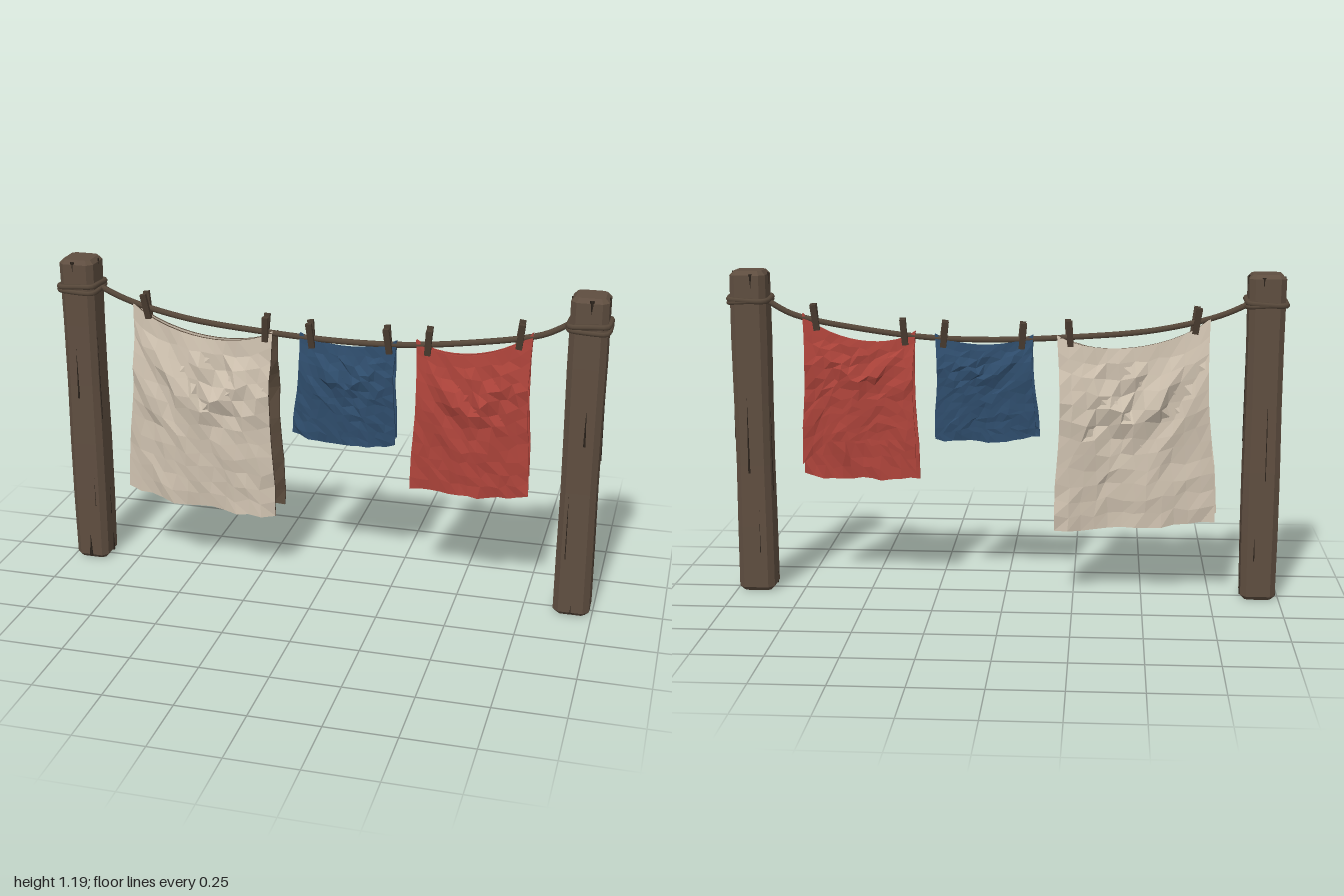
import * as THREE from 'three';

const mat = (name, color, side = THREE.FrontSide) => {
  const m = new THREE.MeshStandardMaterial({ color, side });
  m.name = name;
  return m;
};
const lerp = THREE.MathUtils.lerp;
const noise = (a, b) => { const n = Math.sin(a * 12.99 + b * 78.23) * 43758.5; return 2 * (n - Math.floor(n)) - 1; };
const LINE_Z = -0.01;

export function createModel() {
  const wood = mat('weathered wood', 0x5f4e40);
  const dark = mat('dark wood grain', 0x30271f);
  const ropeMat = mat('rope brown', 0x57483a);
  const pegMat = mat('peg brown', 0x4a3c30);
  const cream = mat('cream cloth', 0xcdc0ae, THREE.DoubleSide);
  const hem = mat('brown hem', 0x57483a, THREE.DoubleSide);
  const blue = mat('blue cloth', 0x2e4c6b, THREE.DoubleSide);
  const red = mat('red cloth', 0xac433a, THREE.DoubleSide);

  const model = new THREE.Group();
  model.name = 'clothesline';
  const add = (parent, name, geometry, material) => {
    const mesh = new THREE.Mesh(geometry, material);
    mesh.name = name;
    parent.add(mesh);
    return mesh;
  };

  // Chamfered, slightly uneven timber, standing on y = 0
  const postGeometry = (seed) => {
    const h = 0.05, c = 0.012, shape = new THREE.Shape();
    [[-h + c, -h], [h - c, -h], [h, -h + c], [h, h - c], [h - c, h], [-h + c, h], [-h, h - c], [-h, -h + c]]
      .forEach(([x, y], i) => (i ? shape.lineTo(x, y) : shape.moveTo(x, y)));
    const g = new THREE.ExtrudeGeometry(shape, {
      depth: 1.16, steps: 5, bevelEnabled: true, bevelSize: 0.014, bevelThickness: 0.015, bevelSegments: 1,
    });
    g.rotateX(-Math.PI / 2).translate(0, 0.015, 0);
    const p = g.attributes.position;
    for (let i = 0; i < p.count; i++) {
      const k = 1 + 0.025 * Math.sin(p.getY(i) * 7 + seed);
      p.setX(i, p.getX(i) * k);
      p.setZ(i, p.getZ(i) * k);
    }
    g.computeVertexNormals();
    return g;
  };

  // Loop of rope round a post, tilted a little
  class Loop extends THREE.Curve {
    constructor(y, tilt) { super(); this.y = y; this.tilt = tilt; }
    getPoint(t, out = new THREE.Vector3()) {
      const a = t * Math.PI * 2, c = Math.cos(a), s = Math.sin(a);
      const r = 0.07 / Math.pow(c ** 6 + s ** 6, 1 / 6);
      return out.set(r * c, this.y + this.tilt * (c + s), r * s);
    }
  }

  // Cracks: [side, offset across, centre height, length, half width]
  const cracks = [
    [0, 0.008, 1.145, -0.08, 0.008], [0, 0.012, 0.76, 0.2, 0.004], [0, -0.03, 0.35, 0.25, 0.003], [0, 0, 0.06, 0.1, 0.007],
    [1, -0.01, 1.14, -0.09, 0.008], [1, 0.0, 0.32, 0.3, 0.003], [1, -0.012, 0.055, 0.09, 0.009], [1, 0.035, 0.75, 0.35, 0.003],
    [2, 0.015, 1.14, -0.08, 0.007], [2, -0.012, 0.6, 0.3, 0.004], [2, 0.02, 0.25, 0.2, 0.003],
    [3, 0.01, 1.14, -0.08, 0.008], [3, -0.015, 0.55, 0.35, 0.004], [3, 0.02, 0.07, 0.12, 0.007],
  ];
  [-1, 1].forEach((side) => {
    const post = new THREE.Group();
    post.name = side > 0 ? 'leftPost' : 'rightPost';
    post.position.x = side * 0.925;
    add(post, 'timber', postGeometry(side), wood);
    cracks.forEach(([f, off, y, len, w]) => {
      const g = new THREE.ConeGeometry(w, Math.abs(len), 4);
      if (len < 0) g.rotateX(Math.PI);
      g.scale(1, 1, 0.003 / w).translate(off * side, y, 0.0635).rotateY(f * Math.PI / 2);
      add(post, 'crack', g, dark);
    });
    add(post, 'ropeLoop', new THREE.TubeGeometry(new Loop(1.09, 0.005), 40, 0.01, 6, true), ropeMat);
    add(post, 'ropeLoop', new THREE.TubeGeometry(new Loop(1.078, -0.004), 40, 0.009, 6, true), ropeMat);
    model.add(post);
  });

  // Sagging line between the posts
  const line = new THREE.CatmullRomCurve3([
    [-0.87, 1.085], [-0.78, 1.045], [-0.68, 1.015], [-0.5, 0.98], [-0.23, 0.957], [0, 0.946], [0.22, 0.948],
    [0.37, 0.96], [0.55, 0.985], [0.69, 1.01], [0.78, 1.035], [0.87, 1.085],
  ].map(([x, y]) => new THREE.Vector3(x, y, LINE_Z)));
  add(model, 'line', new THREE.TubeGeometry(line, 60, 0.011, 6), ropeMat);

  // One hanging sheet with thickness: face cells, rim cells and an optional dark inner strip
  const N = 12, T = 0.004;
  const sheet = (name, o, side, material, rimMaterial, strip) => {
    const point = (i, j, off) => {
      const u = i / N, v = j / N, s = 2 * u - 1, a = Math.abs(s), mid = 1 - s * s;
      const top = lerp(o.top[2], o.top[3], u) - o.sag * Math.pow(mid, 0.8);
      const bottom = lerp(o.bottom[2], o.bottom[3], u) + o.mid * (a < 0.55 ? 1 : (1 - a) / 0.45)
        + 0.006 * noise(i, side + o.seed);
      const pinch = 1 - 0.05 * Math.sin(Math.PI * Math.min(1, v * 1.3));
      const l = lerp(o.top[0], o.bottom[0], v), r = lerp(o.top[1], o.bottom[1], v);
      const x = (l + r) / 2 + s * pinch * (r - l) / 2;
      const bulge = Math.min(1, v * 3.5) * (side > 0 ? 0.5 + 0.3 * mid : 0.8 - 0.2 * mid);
      const swag = 0.3 * Math.cos((v - 0.45 * (1 - a)) * 20) * (1 - 0.7 * a) * Math.exp(-(((v - 0.3) / 0.25) ** 2));
      const fold = 0.2 * v * Math.cos(s * 6 + o.seed + side);
      const rough = v > 0 ? 0.08 * noise(i + o.seed, j * side) : 0;
      const depth = Math.max(0.08, bulge + swag * Math.min(1, v * 5) + fold + rough);
      const inside = i > 0 && i < N && j > 0 && j < N ? 0.25 / N : 0;
      return [x + inside * 0.5 * noise(i, j + o.seed), lerp(top, bottom, v) + inside * 0.5 * noise(j, i),
        LINE_Z + side * (o.depth * depth + off)];
    };
    const cloth = [], rim = [];
    const quad = (list, a, b, c, d) => list.push(...(side > 0 ? [a, b, c, a, c, d] : [a, c, b, a, d, c]).flat());
    for (let i = 0; i < N; i++) {
      for (let j = 0; j < N; j++) {
        const cell = (off) => [point(i, j, off), point(i, j + 1, off), point(i + 1, j + 1, off), point(i + 1, j, off)];
        quad(cloth, ...cell(T));
        quad(strip && i >= N - 2 ? rim : cloth, ...cell(-T).reverse());
      }
      const wall = (a, b) => quad(rim, point(...a, T), point(...a, -T), point(...b, -T), point(...b, T));
      wall([i, N], [i + 1, N]);
      wall([i + 1, 0], [i, 0]);
      wall([0, i], [0, i + 1]);
      wall([N, i + 1], [N, i]);
    }
    [[cloth, material, name], [rim, rimMaterial, name + 'Edge']].forEach(([list, m, n]) => {
      const g = new THREE.BufferGeometry();
      g.setAttribute('position', new THREE.Float32BufferAttribute(list, 3));
      g.computeVertexNormals();
      add(model, n, g, m);
    });
  };

  // Cloths; top and bottom are [x right, x left, y right, y left]
  sheet('creamFront', { top: [-0.73, -0.2, 1.03, 0.965], bottom: [-0.77, -0.19, 0.305, 0.25], sag: 0.08, mid: -0.01, depth: 0.07, seed: 1 }, 1, cream, hem);
  sheet('creamBack', { top: [-0.73, -0.185, 1.03, 0.965], bottom: [-0.76, -0.18, 0.3, 0.26], sag: 0.075, mid: -0.01, depth: 0.07, seed: 2 }, -1, cream, hem, true);
  sheet('blueFront', { top: [-0.1, 0.255, 0.965, 0.965], bottom: [-0.125, 0.257, 0.59, 0.57], sag: 0.04, mid: -0.015, depth: 0.042, seed: 3 }, 1, blue, blue);
  sheet('blueBack', { top: [-0.1, 0.255, 0.965, 0.965], bottom: [-0.11, 0.255, 0.6, 0.59], sag: 0.038, mid: 0.03, depth: 0.036, seed: 4 }, -1, blue, blue);
  sheet('redFront', { top: [0.325, 0.735, 0.975, 1.035], bottom: [0.318, 0.747, 0.425, 0.435], sag: 0.07, mid: -0.015, depth: 0.048, seed: 5 }, 1, red, red);
  sheet('redBack', { top: [0.325, 0.735, 0.975, 1.035], bottom: [0.325, 0.74, 0.47, 0.48], sag: 0.066, mid: 0.1, depth: 0.04, seed: 6 }, -1, red, red);

  // Pegs: two prongs splayed over the line, [x, y centre, lean]
  [[-0.68, 1.022, 0.15], [-0.228, 0.972, -0.05], [-0.06, 0.962, 0.1], [0.222, 0.965, 0.12], [0.368, 0.972, -0.08], [0.69, 1.022, -0.12]]
    .forEach(([x, y, lean]) => {
      const peg = new THREE.Group();
      peg.name = 'peg';
      peg.position.set(x, y, LINE_Z);
      peg.rotation.z = lean;
      [-1, 1].forEach((s) => {
        const prong = add(peg, 'prong', new THREE.BoxGeometry(0.022, 0.095, 0.014), pegMat);
        prong.position.set(s * 0.003, 0, s * 0.019);
        prong.rotation.x = s * 0.14;
      });
      model.add(peg);
    });

  return model;
}
